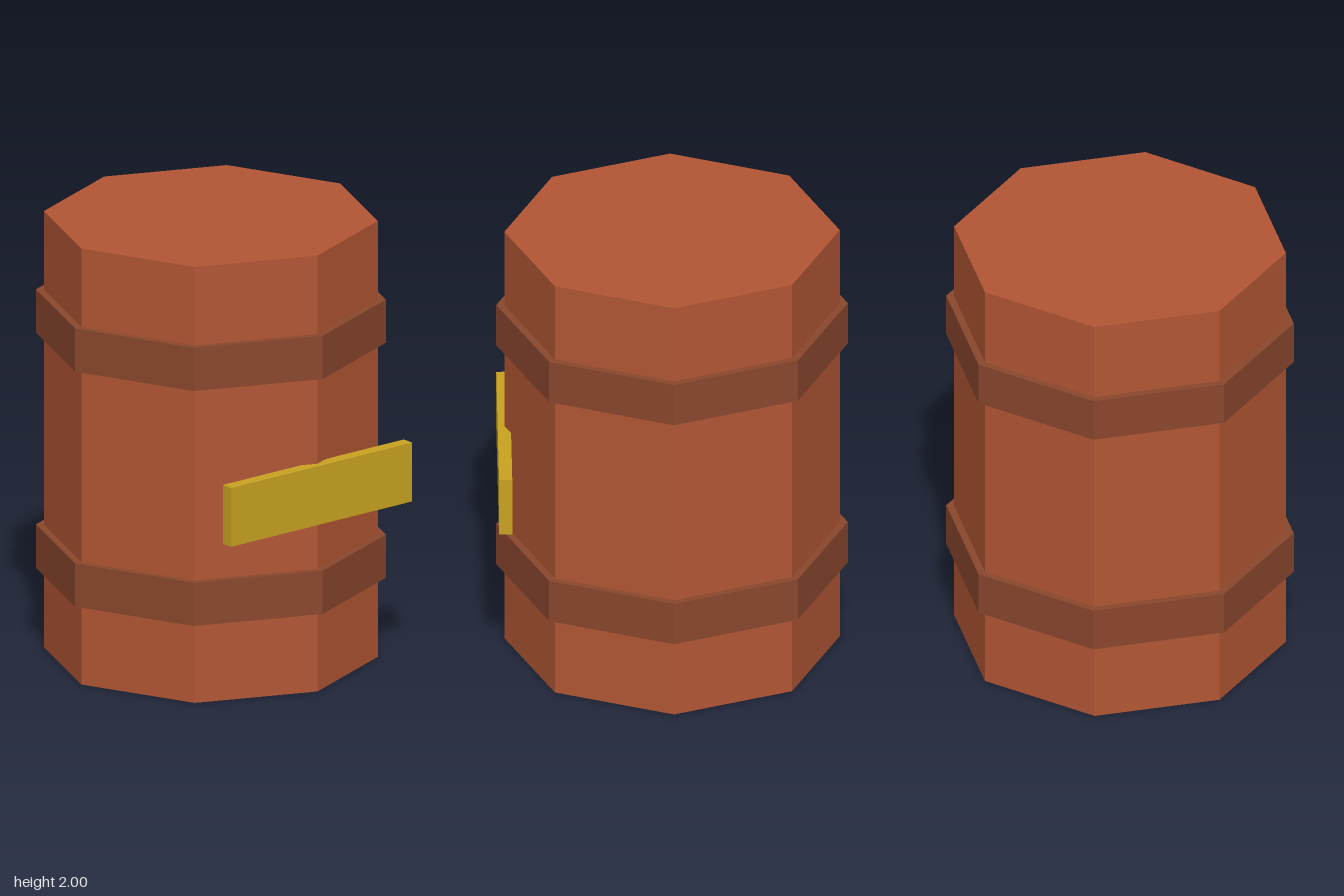
import * as THREE from 'three';

export function createModel() {
  const group = new THREE.Group();
  group.name = 'barrel';

  const material = (name, color) => {
    const m = new THREE.MeshStandardMaterial({ color, flatShading: true });
    m.name = name;
    return m;
  };
  const wood = material('reddish wood', 0xb25634);
  const darkWood = material('dark brown hoop', 0x8a462d);
  const gold = material('gold', 0xc8a220);

  const add = (name, geometry, mat, y, z = 0) => {
    const mesh = new THREE.Mesh(geometry, mat);
    mesh.name = name;
    mesh.position.set(0, y, z);
    group.add(mesh);
  };

  // Eight-sided body with a corner facing the front
  add('body', new THREE.CylinderGeometry(0.733, 0.733, 2, 8), wood, 1);

  // Two hoops around the body
  const hoop = new THREE.CylinderGeometry(0.768, 0.768, 0.198, 8);
  add('lowerHoop', hoop, darkWood, 0.463);
  add('upperHoop', hoop, darkWood, 1.541);

  // Flat plate across the front corner
  add('frontPlate', new THREE.BoxGeometry(1.024, 0.27, 0.058), gold, 0.91, 0.733);

  return group;
}
